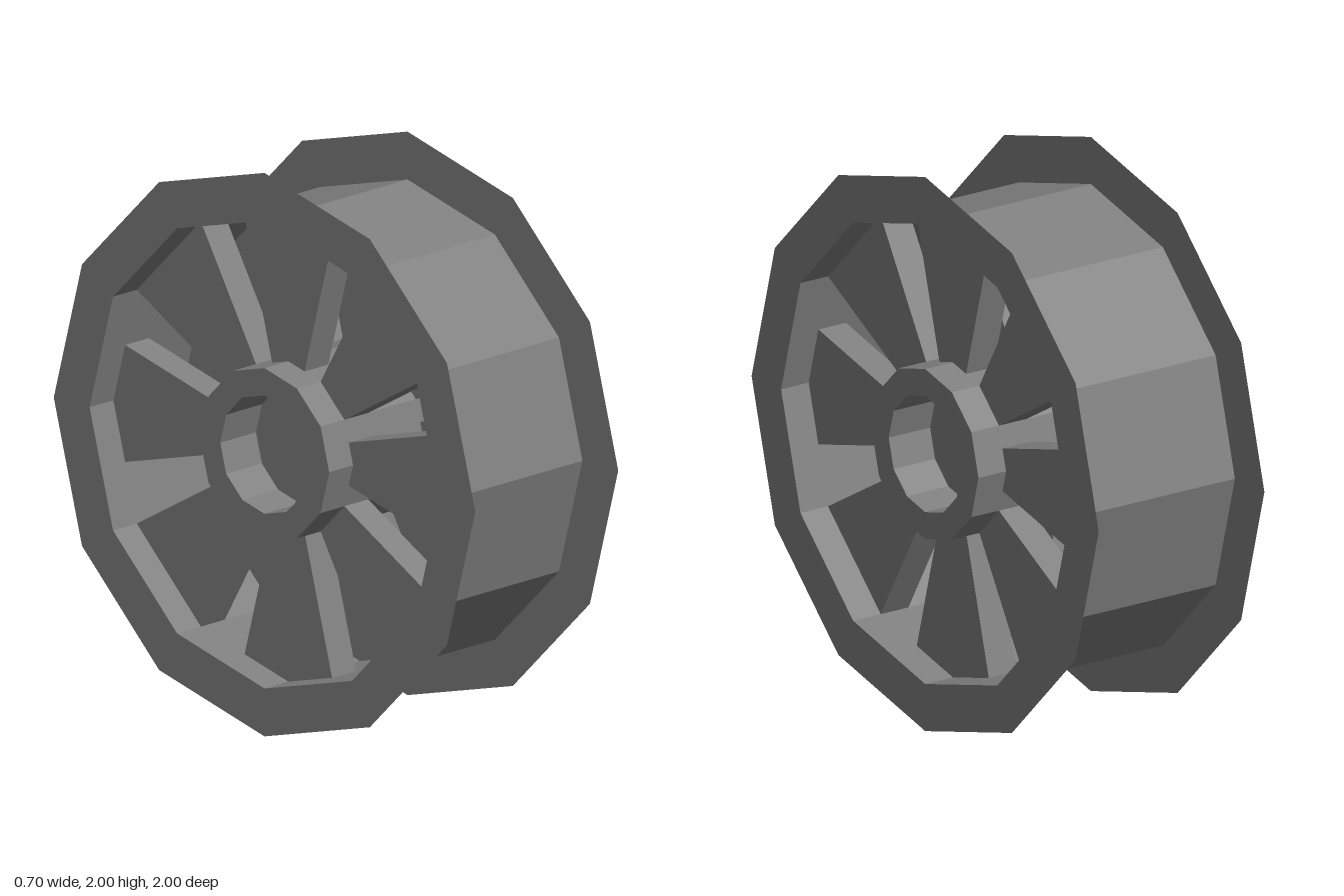
import * as THREE from 'three';

const SIDES = 12;
const HALF_WIDTH = 0.35;
const FLANGE_R = 1.0, BARREL_R = 0.83, HUB_R = 0.307, BORE_R = 0.21;
const STEP = (2 * Math.PI) / SIDES;

// Point on the twelve-sided outline of radius R, at any angle
function onOutline(R, a) {
  const m = ((a % STEP) + STEP) % STEP;
  const r = (R * Math.cos(STEP / 2)) / Math.cos(m - STEP / 2);
  return new THREE.Vector2(r * Math.cos(a), r * Math.sin(a));
}

function outline(R) {
  return Array.from({ length: SIDES }, (_, i) => onOutline(R, i * STEP));
}

function ringShape(outer, inner) {
  const shape = new THREE.Shape(outline(outer));
  shape.holes.push(new THREE.Path(outline(inner)));
  return shape;
}

export function createModel() {
  const model = new THREE.Group();
  model.name = 'wheelRim';
  const grey = new THREE.MeshStandardMaterial({ color: 0x808080, flatShading: true, side: THREE.DoubleSide });
  grey.name = 'grey metal';

  // Everything is made around z, then the axle is turned onto x
  const wheel = new THREE.Group();
  wheel.name = 'wheel';
  wheel.rotation.y = Math.PI / 2;
  wheel.position.y = 1;
  model.add(wheel);

  const add = (name, geometry, z = 0) => {
    const mesh = new THREE.Mesh(geometry, grey);
    mesh.name = name;
    mesh.position.z = z;
    wheel.add(mesh);
    return mesh;
  };

  // Open barrel
  const barrel = new THREE.CylinderGeometry(BARREL_R, BARREL_R, 2 * HALF_WIDTH, SIDES, 1, true);
  add('barrel', barrel.rotateX(Math.PI / 2));

  // Hub tube with a bore at each end
  const hub = new THREE.ExtrudeGeometry(ringShape(HUB_R, BORE_R), { depth: 2 * HALF_WIDTH, bevelEnabled: false });
  add('hub', hub, -HALF_WIDTH);

  const flange = new THREE.ShapeGeometry(ringShape(FLANGE_R, BARREL_R));
  const boreFloor = new THREE.ShapeGeometry(new THREE.Shape(outline(BORE_R)));
  const thickness = HALF_WIDTH / 3;

  for (const side of [-1, 1]) {
    const label = side > 0 ? 'left' : 'right';
    // Paper-thin flange and the floor of the bore
    add(label + 'Flange', flange, side * HALF_WIDTH).rotation.y = side > 0 ? 0 : Math.PI;
    add(label + 'BoreFloor', boreFloor, side * HALF_WIDTH / 2).rotation.y = side > 0 ? 0 : Math.PI;

    // Eight flared spokes, each half a step either side of its centre line
    for (let i = 0; i < 8; i++) {
      const a = (i * Math.PI) / 4;
      const angles = [a - STEP / 2, a, a + STEP / 2];
      const shape = new THREE.Shape([
        ...angles.map((t) => onOutline(BARREL_R, t)),
        ...angles.reverse().map((t) => onOutline(HUB_R, t)),
      ]);
      const spoke = new THREE.ExtrudeGeometry(shape, { depth: thickness, bevelEnabled: false });
      add(label + 'Spoke' + (i + 1), spoke, side * thickness * 1.5 - thickness / 2);
    }
  }
  return model;
}
